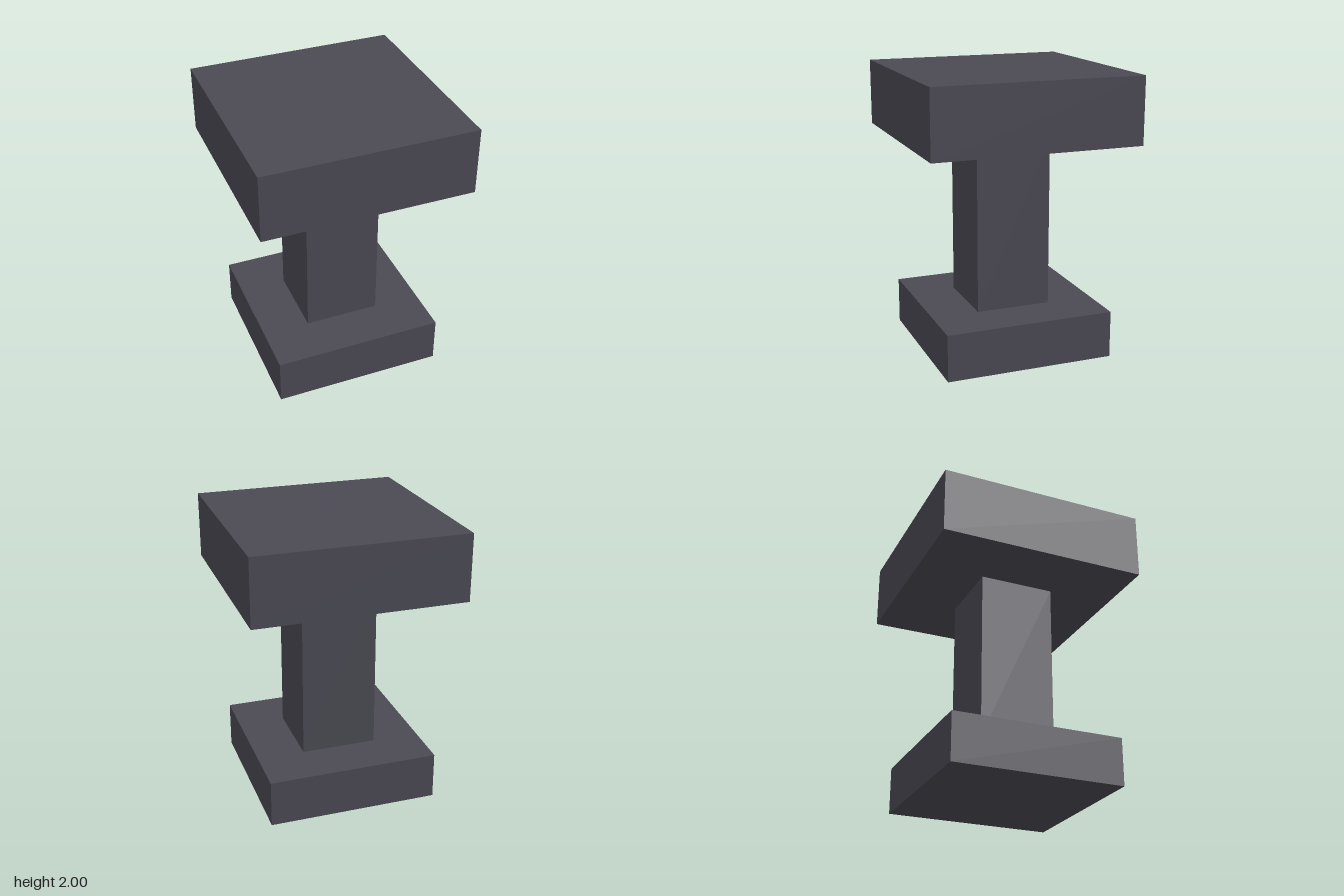
import * as THREE from 'three';

export function createModel() {
  const group = new THREE.Group();
  const stone = new THREE.MeshStandardMaterial({ color: 0x4b4a54 });
  stone.name = 'darkStone';

  // Square block spanning the heights bottom to top
  const addBlock = (name, width, bottom, top) => {
    const mesh = new THREE.Mesh(new THREE.BoxGeometry(width, top - bottom, width), stone);
    mesh.name = name;
    mesh.position.y = (bottom + top) / 2;
    group.add(mesh);
  };

  addBlock('base', 1.2, 0, 0.333);
  addBlock('column', 0.533, 0.333, 1.533);
  addBlock('topSlab', 1.467, 1.533, 2);

  return group;
}
